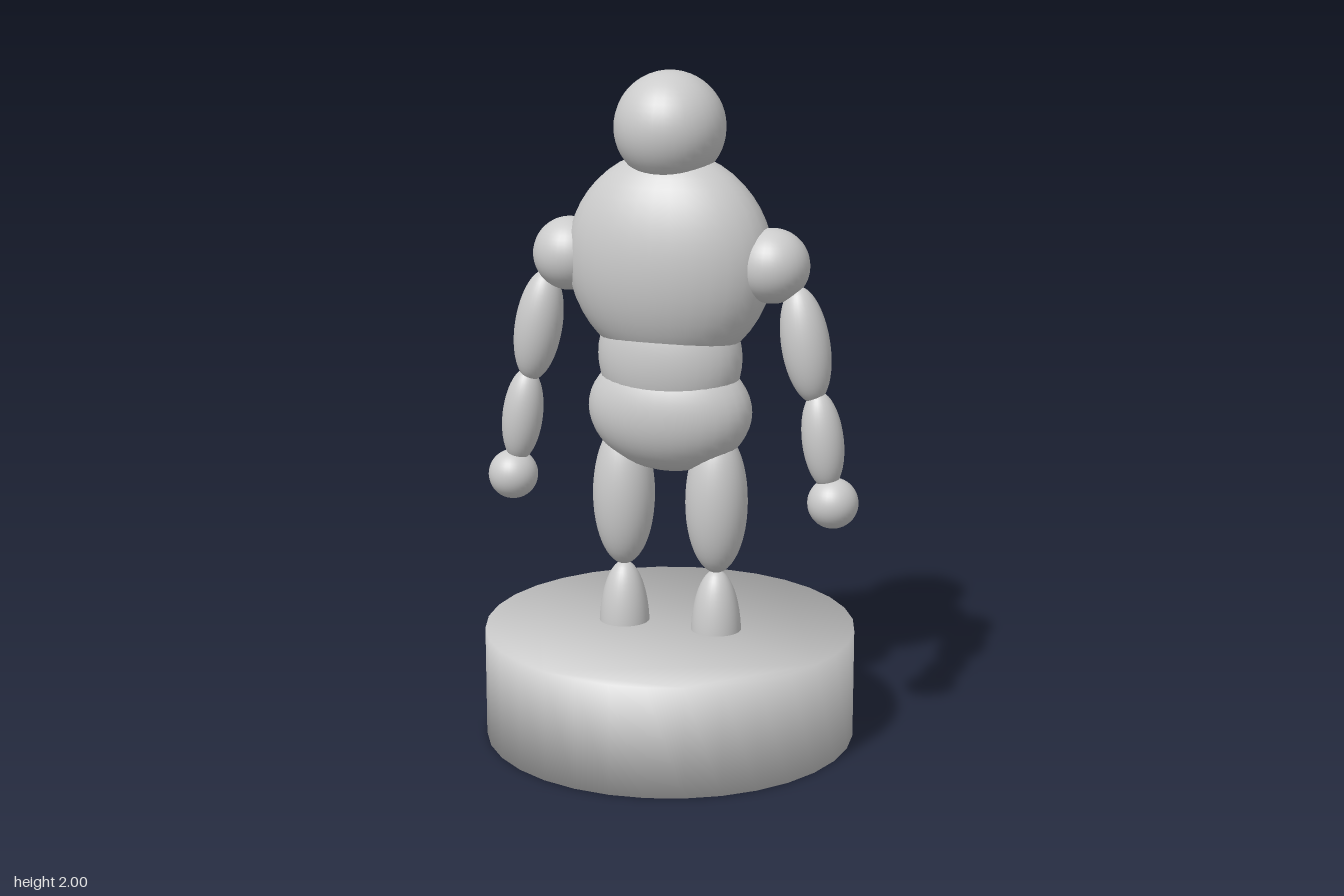
import * as THREE from 'three';
import { mergeVertices } from 'three/addons/utils/BufferGeometryUtils.js';

const material = new THREE.MeshStandardMaterial({ color: 0xcccccc });

// Smooth ellipsoid with radii (rx, ry, rz), optionally tilted about z
function ellipsoid(name, [x, y], [rx, ry, rz], tilt = 0) {
  const geometry = new THREE.SphereGeometry(1, 32, 24);
  geometry.scale(rx, ry, rz);
  const mesh = new THREE.Mesh(geometry, material);
  mesh.name = name;
  mesh.position.set(x, y, 0);
  mesh.rotation.z = tilt;
  return mesh;
}

// 32-sided disc whose normals blend smoothly across the rim
function pedestal(radius, height) {
  const points = [];
  for (let i = 0; i < 32; i++) {
    const a = (i / 32) * Math.PI * 2;
    points.push(new THREE.Vector2(Math.cos(a) * radius, Math.sin(a) * radius));
  }
  let geometry = new THREE.ExtrudeGeometry(new THREE.Shape(points), {
    depth: height, bevelEnabled: false,
  });
  geometry.rotateX(-Math.PI / 2);
  geometry.deleteAttribute('uv');
  geometry.deleteAttribute('normal');
  geometry = mergeVertices(geometry);
  geometry.clearGroups();
  const p = geometry.attributes.position;
  const normals = new THREE.Float32BufferAttribute(p.count * 3, 3);
  const n = new THREE.Vector3();
  for (let i = 0; i < p.count; i++) {
    n.set(p.getX(i) / radius, p.getY(i) > height / 2 ? 1 : -1, p.getZ(i) / radius).normalize();
    normals.setXYZ(i, n.x, n.y, n.z);
  }
  geometry.setAttribute('normal', normals);
  const mesh = new THREE.Mesh(geometry, material);
  mesh.name = 'pedestal';
  return mesh;
}

export function createModel() {
  const model = new THREE.Group();
  model.name = 'figureOnPedestal';
  model.add(pedestal(0.555, 0.333));

  // Head and body
  model.add(
    ellipsoid('head', [0, 1.837], [0.163, 0.163, 0.163]),
    ellipsoid('chest', [0, 1.45], [0.31, 0.32, 0.192]),
    ellipsoid('waist', [0, 1.163], [0.218, 0.22, 0.146]),
    ellipsoid('hips', [0, 1.002], [0.249, 0.186, 0.155]),
  );

  // Arms and legs, mirrored
  for (const [side, s] of [['left', 1], ['right', -1]]) {
    const arm = new THREE.Group();
    arm.name = side + 'Arm';
    arm.add(
      ellipsoid(side + 'Shoulder', [s * 0.31, 1.45], [0.109, 0.109, 0.109]),
      ellipsoid(side + 'UpperArm', [s * 0.412, 1.225], [0.071, 0.172, 0.071], s * 0.17),
      ellipsoid(side + 'Forearm', [s * 0.467, 0.945], [0.061, 0.146, 0.061], s * 0.13),
      ellipsoid(side + 'Hand', [s * 0.5, 0.758], [0.075, 0.075, 0.075]),
    );
    const leg = new THREE.Group();
    leg.name = side + 'Leg';
    leg.add(
      ellipsoid(side + 'Thigh', [s * 0.145, 0.73], [0.093, 0.22, 0.093]),
      ellipsoid(side + 'Shin', [s * 0.145, 0.31], [0.076, 0.208, 0.076]),
    );
    model.add(arm, leg);
  }
  return model;
}
